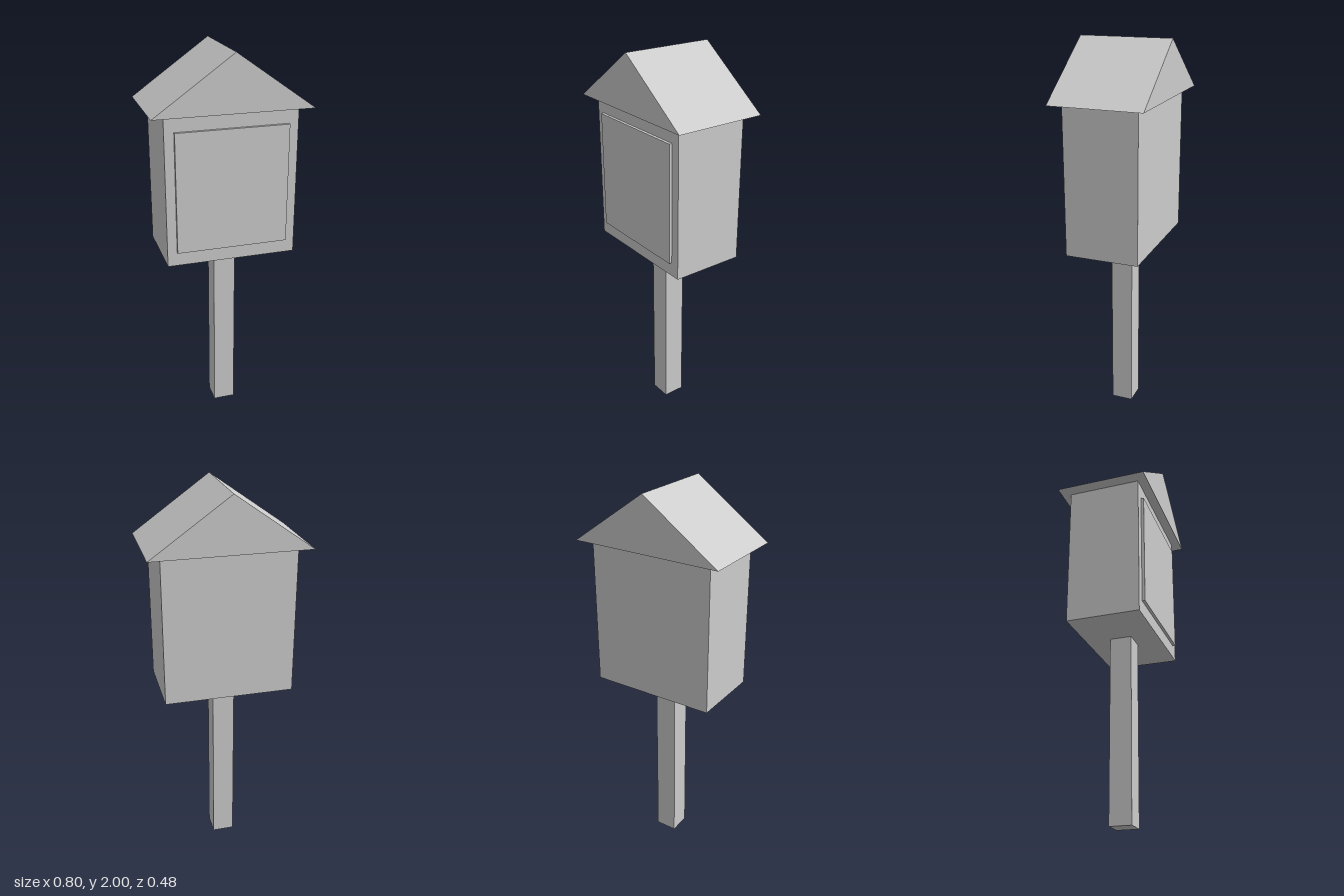
import * as THREE from 'three';

export function createModel() {
  const group = new THREE.Group();
  group.name = 'birdhouseStyleBox';
  const grey = new THREE.MeshStandardMaterial({ color: 0xcccccc });
  grey.name = 'plain grey';

  // Adds a box given its size and the height of its base
  const addBox = (name, w, h, d, baseY, z = 0) => {
    const mesh = new THREE.Mesh(new THREE.BoxGeometry(w, h, d), grey);
    mesh.name = name;
    mesh.position.set(0, baseY + h / 2, z);
    group.add(mesh);
  };

  addBox('post', 0.114, 0.96, 0.114, 0);
  addBox('cabinet', 0.664, 0.76, 0.38, 0.96);
  addBox('door', 0.568, 0.61, 0.016, 1.032, 0.197);

  // Gabled roof: a solid triangular prism with its ridge along z
  const gable = new THREE.Shape([
    new THREE.Vector2(-0.398, 1.72),
    new THREE.Vector2(0.398, 1.72),
    new THREE.Vector2(0, 2),
  ]);
  const depth = 0.476;
  const roofGeometry = new THREE.ExtrudeGeometry(gable, { depth, bevelEnabled: false });
  roofGeometry.translate(0, 0, -depth / 2);
  const roof = new THREE.Mesh(roofGeometry, grey);
  roof.name = 'roof';
  group.add(roof);

  return group;
}
